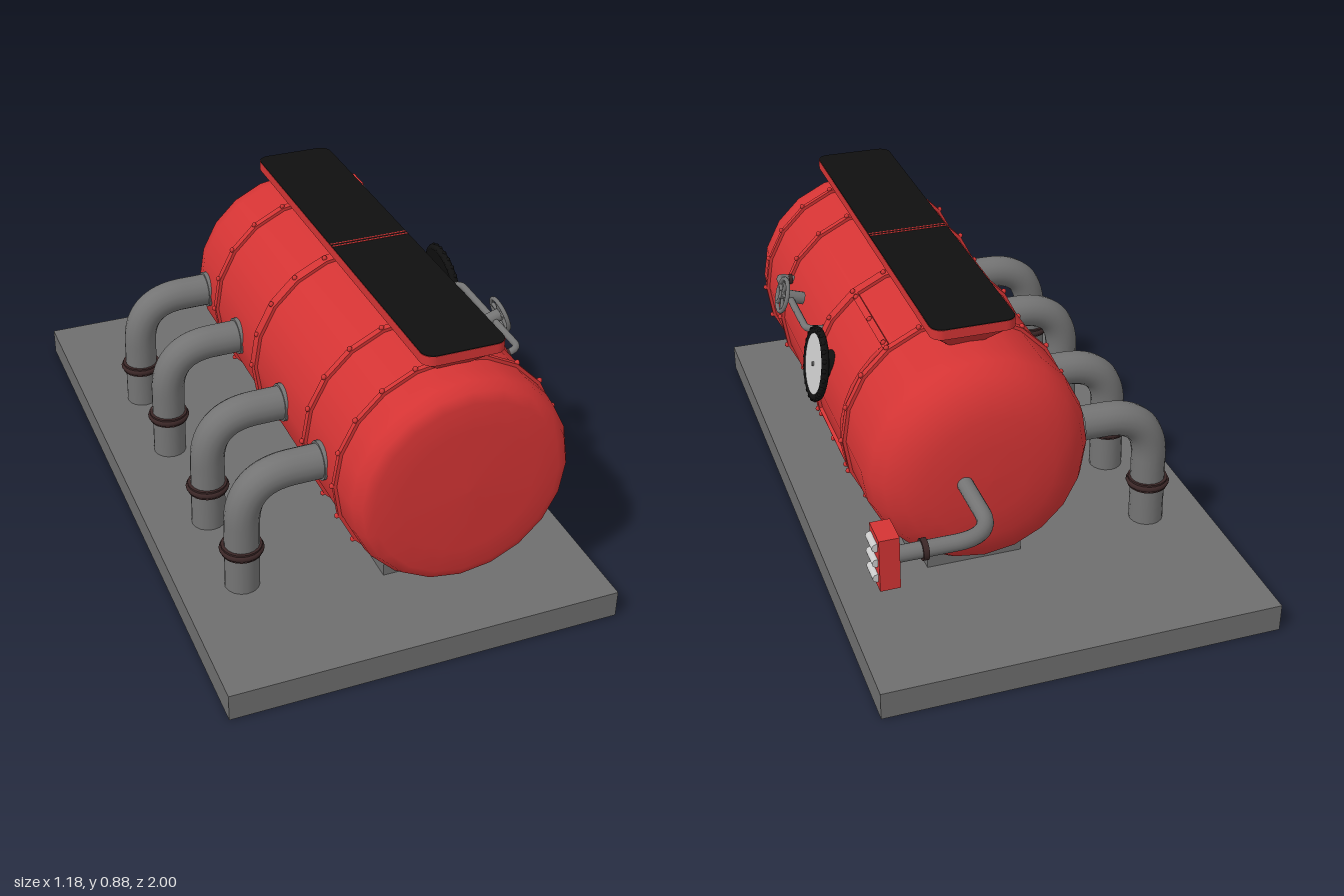
import * as THREE from 'three';

const mat = (name, color) => {
  const m = new THREE.MeshStandardMaterial({ color });
  m.name = name;
  return m;
};

export function createModel() {
  const red = mat('red paint', 0xd43434);
  const grey = mat('base grey', 0x6e6e6e);
  const steel = mat('pipe steel', 0x747474);
  const black = mat('black', 0x101010);
  const collarMat = mat('dark collar', 0x3b2727);
  const white = mat('pale glass', 0xcccccc);

  const model = new THREE.Group();
  model.name = 'tankStation';
  const CX = 0.165, CY = 0.46, R = 0.333, SIDES = 20;

  const add = (name, geo, material, x = 0, y = 0, z = 0, parent = model) => {
    const m = new THREE.Mesh(geo, material);
    m.name = name;
    m.position.set(x, y, z);
    parent.add(m);
    return m;
  };
  const group = (name, x, y, z, rz = 0) => {
    const g = new THREE.Group();
    g.name = name;
    g.position.set(x, y, z);
    g.rotation.z = rz;
    model.add(g);
    return g;
  };
  const box = (w, h, d) => new THREE.BoxGeometry(w, h, d);
  const rod = (r, len, sides = 16) => new THREE.CylinderGeometry(r, r, len, sides);
  const rodX = (r, len, sides) => rod(r, len, sides).rotateZ(-Math.PI / 2);
  const v = (x, y, z) => new THREE.Vector3(x, y, z);

  // A pipe through corner points, with each corner rounded by a given radius
  const pipe = (points, bend, radius, sides = 16) => {
    const path = new THREE.CurvePath();
    let start = points[0];
    for (let i = 1; i < points.length - 1; i++) {
      const p = points[i];
      const a = p.clone().add(points[i - 1].clone().sub(p).setLength(bend));
      const b = p.clone().add(points[i + 1].clone().sub(p).setLength(bend));
      path.add(new THREE.LineCurve3(start, a));
      path.add(new THREE.QuadraticBezierCurve3(a, p.clone(), b));
      start = b;
    }
    path.add(new THREE.LineCurve3(start, points[points.length - 1]));
    return new THREE.TubeGeometry(path, 40, radius, sides);
  };

  // Base slab and tank support
  add('base', box(1.18, 0.085, 2), grey, 0, 0.0425, 0);
  add('support', box(0.35, 0.1, 1.13), grey, CX, 0.13, 0.125);
  add('rearSupport', box(0.29, 0.075, 0.07), grey, CX, 0.1175, -0.475);

  // Tank body, turned around the z axis
  const profile = [
    [0, -0.672], [0.1, -0.67], [0.19, -0.66], [0.25, -0.638], [0.295, -0.605], [0.322, -0.56], [R, -0.51],
    [R, 0.1], [R, 0.76], [0.328, 0.8], [0.31, 0.832], [0.28, 0.846], [0.2, 0.853], [0, 0.858],
  ].map(([r, y]) => new THREE.Vector2(r, y));
  add('tankBody', new THREE.LatheGeometry(profile, SIDES).rotateX(Math.PI / 2), red, CX, CY, 0);

  // Bands with a bolt on every corner
  const boltGeo = new THREE.SphereGeometry(0.008, 8, 6);
  for (const [z, width] of [[0.7, 0.016], [0.47, 0.02], [0.035, 0.036], [-0.335, 0.022]]) {
    const g = group('band', CX, CY, z);
    add('bandRing', rod(0.343, width, SIDES).rotateX(Math.PI / 2), red, 0, 0, 0, g);
    for (let i = 0; i < SIDES; i++) {
      const a = (i / SIDES) * Math.PI * 2;
      add('bandBolt', boltGeo, red, Math.cos(a) * 0.345, Math.sin(a) * 0.345, 0, g);
    }
  }

  // Frame strips of the side panel
  for (const deg of [54, -18]) {
    const g = group('panelStrip', CX, CY, -0.15, THREE.MathUtils.degToRad(deg));
    add('strip', box(0.02, 0.02, 0.34), red, 0.332, 0, 0, g);
    for (const z of [-0.15, 0, 0.15]) add('stripBolt', boltGeo, red, 0.343, 0, z, g);
  }
  // Upright edge of the panel, following the tank curve
  add('panelEdge', new THREE.TorusGeometry(0.333, 0.008, 6, 8, Math.PI * 0.4).rotateZ(-Math.PI / 10),
    red, CX, CY, -0.305);

  // Hopper on top
  const slab = (hx, hz, r, depth) => {
    const s = new THREE.Shape();
    s.moveTo(-hx + r, -hz);
    s.lineTo(hx - r, -hz).absarc(hx - r, -hz + r, r, -Math.PI / 2, 0);
    s.absarc(hx - r, hz - r, r, 0, Math.PI / 2);
    s.absarc(-hx + r, hz - r, r, Math.PI / 2, Math.PI);
    s.absarc(-hx + r, -hz + r, r, Math.PI, Math.PI * 1.5);
    return new THREE.ExtrudeGeometry(s, { depth, bevelEnabled: false, curveSegments: 6 });
  };
  const funnel = slab(0.118, 0.655, 0.035, 0.07);
  const pos = funnel.attributes.position;
  for (let i = 0; i < pos.count; i++) {
    if (pos.getZ(i) < 0.01) pos.setXY(i, pos.getX(i) * 0.48, pos.getY(i) * 0.88);
  }
  funnel.computeVertexNormals();
  add('hopperFunnel', funnel.rotateX(-Math.PI / 2), red, 0.167, 0.776, 0.128);
  add('hopperRim', slab(0.123, 0.66, 0.035, 0.029).rotateX(-Math.PI / 2), red, 0.167, 0.845, 0.128);
  add('hopperCover', slab(0.122, 0.659, 0.035, 0.002).rotateX(-Math.PI / 2), black, 0.167, 0.874, 0.128);
  for (const z of [0.114, 0.128]) add('coverLine', box(0.242, 0.002, 0.005), red, 0.167, 0.8762, z);

  // Four elbow pipes on the right side
  for (const z of [-0.465, -0.145, 0.26, 0.575]) {
    const g = group('elbowPipe', 0, 0, z);
    add('pipe', pipe([v(-0.405, 0.08, 0), v(-0.4, 0.458, 0), v(-0.12, 0.46, 0)], 0.15, 0.052), steel, 0, 0, 0, g);
    add('collar', rod(0.06, 0.028, 20), collarMat, -0.404, 0.218, 0, g);
    add('collarRim', new THREE.TorusGeometry(0.056, 0.01, 8, 20).rotateX(Math.PI / 2), collarMat, -0.404, 0.218, 0, g);
    add('tankFlange', rodX(0.058, 0.02, 20), steel, -0.162, 0.46, 0, g);
  }

  // Rear pipe and its control box
  add('rearPipe', pipe([v(0.245, 0.465, -0.6), v(0.245, 0.465, -0.92), v(0.53, 0.465, -0.92)], 0.11, 0.023), steel);
  add('rearCollar', rodX(0.03, 0.016), collarMat, 0.44, 0.465, -0.92);
  add('controlBox', box(0.055, 0.156, 0.09), red, 0.541, 0.463, -0.911);
  for (const y of [0.512, 0.465, 0.418]) {
    add('button', rod(0.012, 0.062, 12).rotateX(Math.PI / 2), white, 0.572, y, -0.911);
  }

  // Porthole gauge on the left side, facing local +x
  const port = group('porthole', 0.515, 0.575, -0.075, 0.18);
  add('portholeStub', rodX(0.042, 0.08), black, -0.04, 0, 0, port);
  add('portholeBack', rodX(0.106, 0.014, 32), black, -0.003, 0, 0, port);
  add('portholeRing', new THREE.TorusGeometry(0.101, 0.012, 8, 32).rotateY(Math.PI / 2), black, 0, 0, 0, port);
  add('portholeGlass', rodX(0.092, 0.006, 32), white, 0.005, 0, 0, port);
  add('portholePin', rodX(0.007, 0.008, 8), steel, 0.009, 0, 0, port);
  for (let i = 0; i < 24; i++) {
    const a = (i / 24) * Math.PI * 2;
    add('ringBolt', boltGeo, black, 0.004, Math.cos(a) * 0.107, Math.sin(a) * 0.107, port);
  }

  // Valve line along the left side with its handwheel
  add('valveLine', pipe([v(0.45, 0.595, 0.455), v(0.51, 0.615, 0.455), v(0.51, 0.622, 0.06), v(0.45, 0.615, 0.06)],
    0.025, 0.011, 10), steel);
  add('valveFoot', rodX(0.016, 0.012, 12), collarMat, 0.472, 0.6, 0.455);
  const wheel = group('handwheel', 0.533, 0.632, 0.287, Math.PI / 10);
  add('wheelStem', rodX(0.02, 0.065, 12), steel, -0.036, 0, 0, wheel);
  add('wheelHub', rodX(0.014, 0.016, 12), steel, 0, 0, 0, wheel);
  add('wheelRim', new THREE.TorusGeometry(0.052, 0.007, 8, 24).rotateY(Math.PI / 2), steel, 0, 0, 0, wheel);
  for (let i = 0; i < 5; i++) {
    const spoke = rod(0.006, 0.052, 6).translate(0, 0.026, 0).rotateX((i / 5) * Math.PI * 2);
    add('wheelSpoke', spoke, steel, 0, 0, 0, wheel);
  }

  return model;
}
